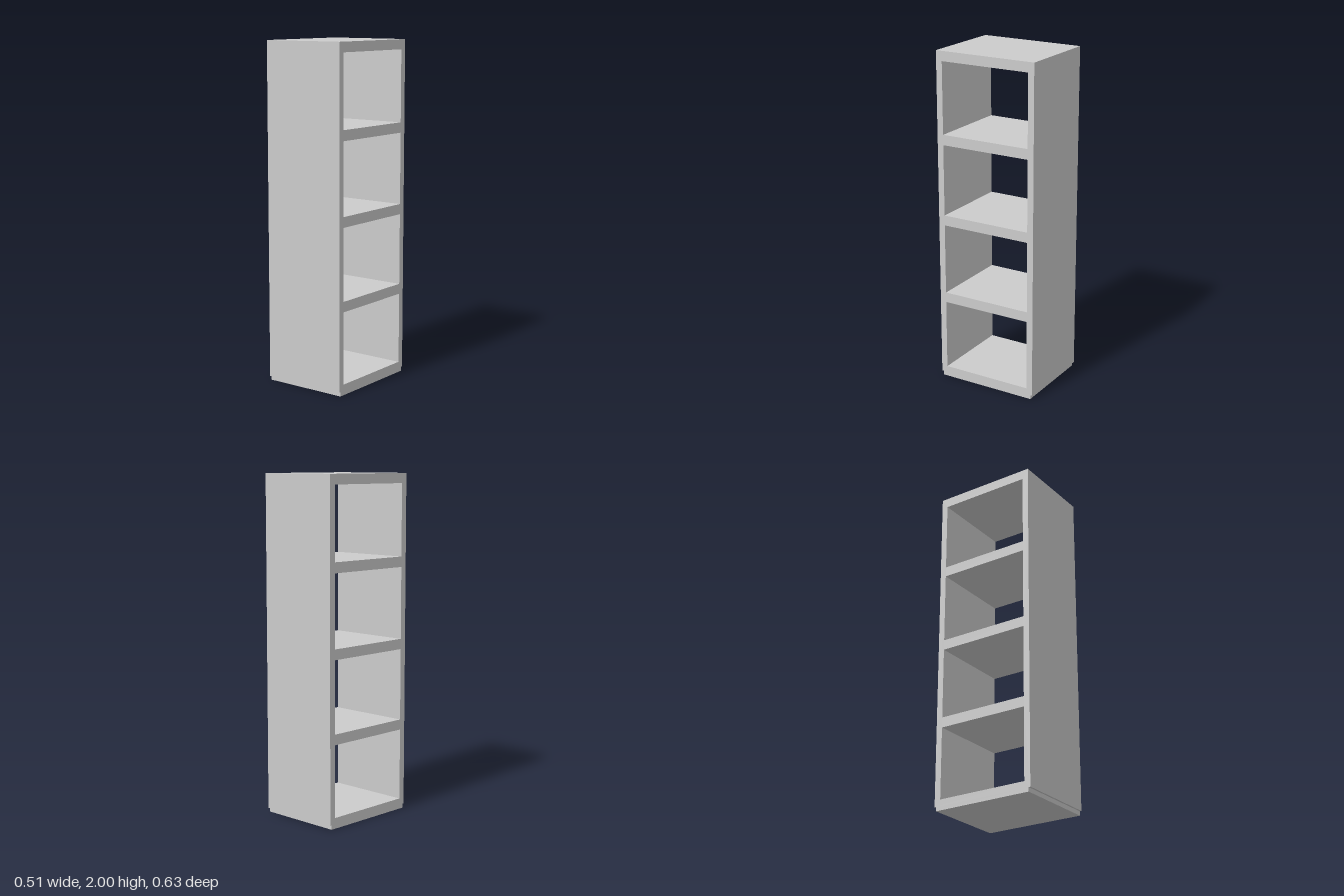
import * as THREE from 'three';

const WIDTH = 0.515;     // along x
const OUTER_Z = 0.316;   // half depth of the case
const INNER_Z = 0.278;   // half depth of the openings
const PLINTH = 0.025;
const HEIGHT = 2;

function rectangle(path, z, y0, y1) {
  path.moveTo(-z, y0);
  path.lineTo(z, y0);
  path.lineTo(z, y1);
  path.lineTo(-z, y1);
  path.closePath();
  return path;
}

export function createModel() {
  const group = new THREE.Group();
  group.name = 'openShelfUnit';
  const material = new THREE.MeshStandardMaterial({ color: 0xcccccc });

  // Case with four compartments open right through from side to side
  const profile = rectangle(new THREE.Shape(), OUTER_Z, PLINTH, HEIGHT);
  const pitch = 0.485, opening = 0.424, firstFloor = 0.063;
  for (let i = 0; i < 4; i++) {
    const floor = firstFloor + i * pitch;
    profile.holes.push(rectangle(new THREE.Path(), INNER_Z, floor, floor + opening));
  }
  const geometry = new THREE.ExtrudeGeometry(profile, { depth: WIDTH, bevelEnabled: false });
  geometry.translate(0, 0, -WIDTH / 2);
  geometry.rotateY(-Math.PI / 2);
  const shelfCase = new THREE.Mesh(geometry, material);
  shelfCase.name = 'shelfCase';
  group.add(shelfCase);

  // Slightly recessed plinth under the case
  const plinth = new THREE.Mesh(new THREE.BoxGeometry(WIDTH, PLINTH, 0.61), material);
  plinth.name = 'plinth';
  plinth.position.y = PLINTH / 2;
  group.add(plinth);

  return group;
}
